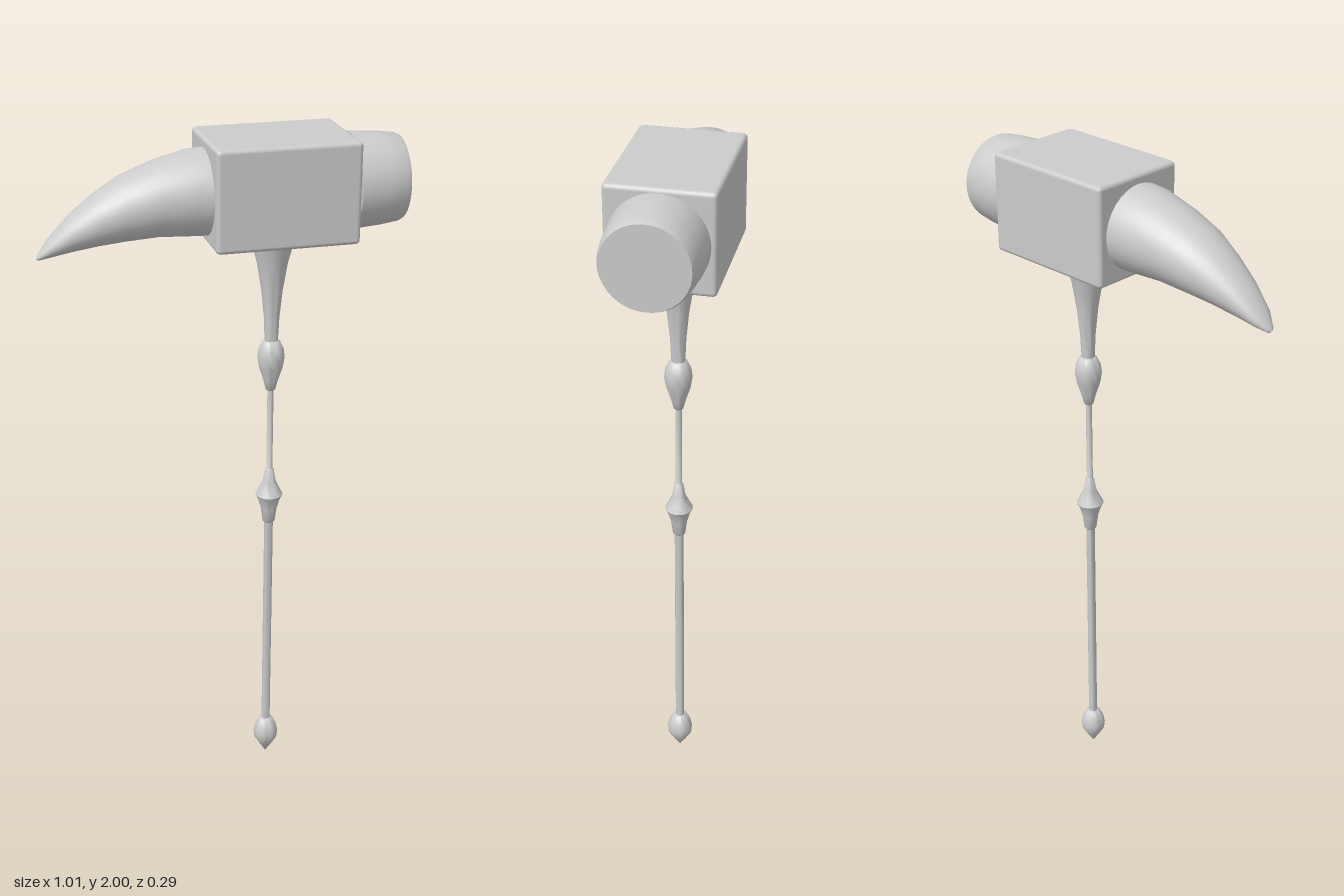
import * as THREE from 'three';
import { toCreasedNormals } from 'three/addons/utils/BufferGeometryUtils.js';
import { RoundedBoxGeometry } from 'three/addons/geometries/RoundedBoxGeometry.js';

const HEAD_Y = 1.86;
const HANDLE_X = 0.15;

// Surface of revolution from [radius, height] pairs
function lathe(profile, segments, crease) {
  const points = profile.map(([r, y]) => new THREE.Vector2(r, y));
  return toCreasedNormals(new THREE.LatheGeometry(points, segments), crease);
}

// Loft of elliptical rings from [x, top, bottom, halfWidth]
function hornGeometry(sections, sides) {
  const positions = [];
  const index = [];
  sections.forEach(([x, top, bottom, width], i) => {
    for (let j = 0; j < sides; j++) {
      const a = (j / sides) * Math.PI * 2;
      positions.push(x, (top + bottom) / 2 + ((top - bottom) / 2) * Math.cos(a), width * Math.sin(a));
      if (i === sections.length - 1) continue;
      const k = (j + 1) % sides;
      const p = i * sides + j, q = i * sides + k;
      index.push(p, p + sides, q, q, p + sides, q + sides);
    }
  });
  const geometry = new THREE.BufferGeometry();
  geometry.setAttribute('position', new THREE.Float32BufferAttribute(positions, 3));
  geometry.setIndex(index);
  geometry.computeVertexNormals();
  return geometry;
}

export function createModel() {
  const group = new THREE.Group();
  const material = new THREE.MeshStandardMaterial({ color: 0xcccccc });
  const add = (name, geometry, x = 0, y = 0) => {
    const mesh = new THREE.Mesh(geometry, material);
    mesh.name = name;
    mesh.position.set(x, y, 0);
    group.add(mesh);
    return mesh;
  };

  // Head block with softened edges
  add('headBlock', new RoundedBoxGeometry(0.4, 0.28, 0.29, 2, 0.012), 0.155, HEAD_Y);

  // Striking face on a recessed neck, turned around the x axis
  const face = lathe([
    [0.1, 0.34], [0.1, 0.362], [0.132, 0.362], [0.131, 0.4],
    [0.127, 0.45], [0.121, 0.495], [0.116, 0.505], [0, 0.505],
  ], 40, 0.7);
  face.rotateZ(-Math.PI / 2);
  add('strikingFace', face, 0, HEAD_Y);

  // Curved, drooping spike
  add('spike', hornGeometry([
    [-0.03, 1.976, 1.738, 0.122],
    [-0.09, 1.971, 1.74, 0.12],
    [-0.18, 1.948, 1.744, 0.108],
    [-0.27, 1.914, 1.738, 0.095],
    [-0.34, 1.872, 1.73, 0.076],
    [-0.41, 1.819, 1.719, 0.056],
    [-0.47, 1.758, 1.707, 0.035],
    [-0.5, 1.718, 1.7, 0.013],
    [-0.506, 1.706, 1.704, 0.002],
  ], 32));

  // Turned handle: pommel, shaft, two knops and the flared socket
  add('handle', lathe([
    [0, 0], [0.02, 0.032], [0.036, 0.06], [0.038, 0.08], [0.033, 0.103], [0.022, 0.125], [0.013, 0.13],
    [0.013, 0.832], [0.018, 0.837], [0.024, 0.88], [0.032, 0.908], [0.04, 0.925],
    [0.03, 0.945], [0.019, 0.968], [0.013, 1.005], [0.009, 1.01],
    [0.009, 1.258], [0.014, 1.262], [0.021, 1.29], [0.034, 1.33], [0.039, 1.36],
    [0.036, 1.385], [0.026, 1.407], [0.019, 1.412],
    [0.022, 1.48], [0.03, 1.56], [0.043, 1.64], [0.066, 1.725],
  ], 24, 0.75), HANDLE_X);

  return group;
}
